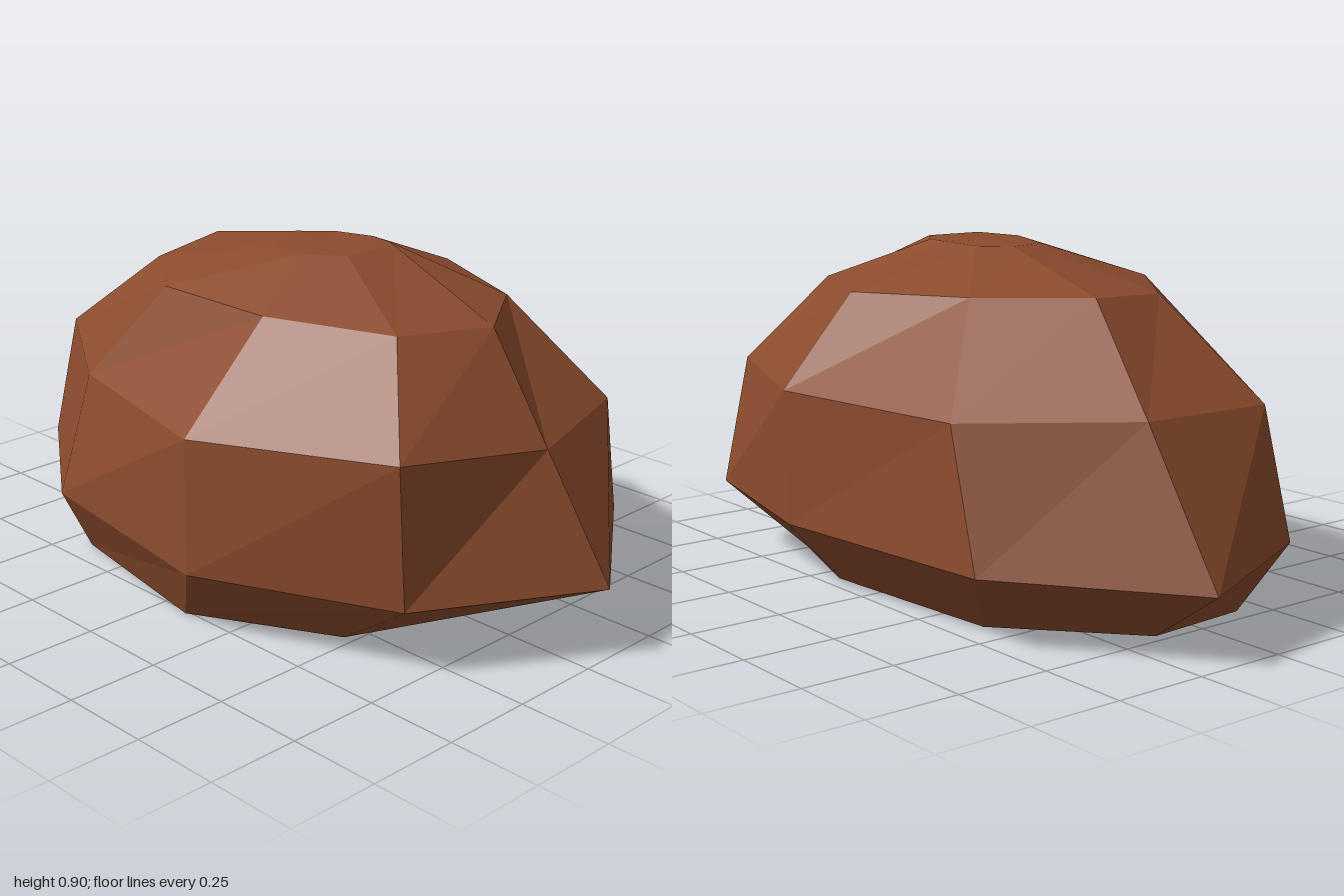
import * as THREE from 'three';

// Cross-sections of the boulder from base to crown, [x, y, z],
// each running from the front round by +x to the back.
const rings = [
  [[0.09, 0, 0.51], [0.47, 0, 0.31], [0.63, 0.015, 0], [0.5, 0.005, -0.35], [0.15, 0.01, -0.47],
    [-0.4, 0, -0.41], [-0.72, 0, -0.13], [-0.7, 0, 0.17], [-0.42, 0, 0.42]],
  [[0.21, 0.18, 0.605], [0.73, 0.18, 0.37], [1, 0.19, -0.07], [0.69, 0.185, -0.5], [0.18, 0.175, -0.605],
    [-0.55, 0.18, -0.55], [-1, 0.175, -0.2], [-0.82, 0.195, 0.23], [-0.4, 0.195, 0.53]],
  [[0.19, 0.53, 0.585], [0.72, 0.555, 0.385], [0.83, 0.52, -0.02], [0.72, 0.53, -0.4], [0.19, 0.53, -0.605],
    [-0.43, 0.53, -0.53], [-0.78, 0.55, -0.22], [-0.76, 0.54, 0.19], [-0.36, 0.53, 0.45]],
  [[0.21, 0.795, 0.34], [0.54, 0.79, 0.21], [0.63, 0.78, -0.04], [0.47, 0.78, -0.28], [0.13, 0.78, -0.43],
    [-0.22, 0.79, -0.31], [-0.48, 0.8, -0.12], [-0.43, 0.785, 0.14], [-0.16, 0.795, 0.34]],
  [[0.12, 0.895, 0.12], [0.23, 0.9, 0.065], [0.235, 0.9, -0.1], [0.19, 0.895, -0.13], [0.12, 0.895, -0.14],
    [0, 0.89, -0.12], [-0.07, 0.89, -0.05], [-0.04, 0.888, 0.03], [0, 0.885, 0.1]],
];

function rockGeometry() {
  const pos = [];
  const tri = (a, b, c) => pos.push(...a, ...b, ...c);
  const n = rings[0].length;
  const base = [0, 0, 0], crown = [0.08, 0.894, 0];
  for (let j = 0; j < n; j++) {
    const k = (j + 1) % n;
    // faceted sides
    for (let i = 0; i < rings.length - 1; i++) {
      const lo = rings[i], hi = rings[i + 1];
      tri(lo[j], lo[k], hi[k]);
      tri(lo[j], hi[k], hi[j]);
    }
    // flat base and crown
    tri(base, rings[0][k], rings[0][j]);
    tri(crown, rings[rings.length - 1][j], rings[rings.length - 1][k]);
  }
  const g = new THREE.BufferGeometry();
  g.setAttribute('position', new THREE.Float32BufferAttribute(pos, 3));
  g.computeVertexNormals(); // unshared corners give flat facets
  return g;
}

export function createModel() {
  const group = new THREE.Group();
  group.name = 'rock';
  const brown = new THREE.MeshStandardMaterial({ color: 0x8b4b2d });
  brown.name = 'brown stone';
  const boulder = new THREE.Mesh(rockGeometry(), brown);
  boulder.name = 'boulder';
  group.add(boulder);
  return group;
}
